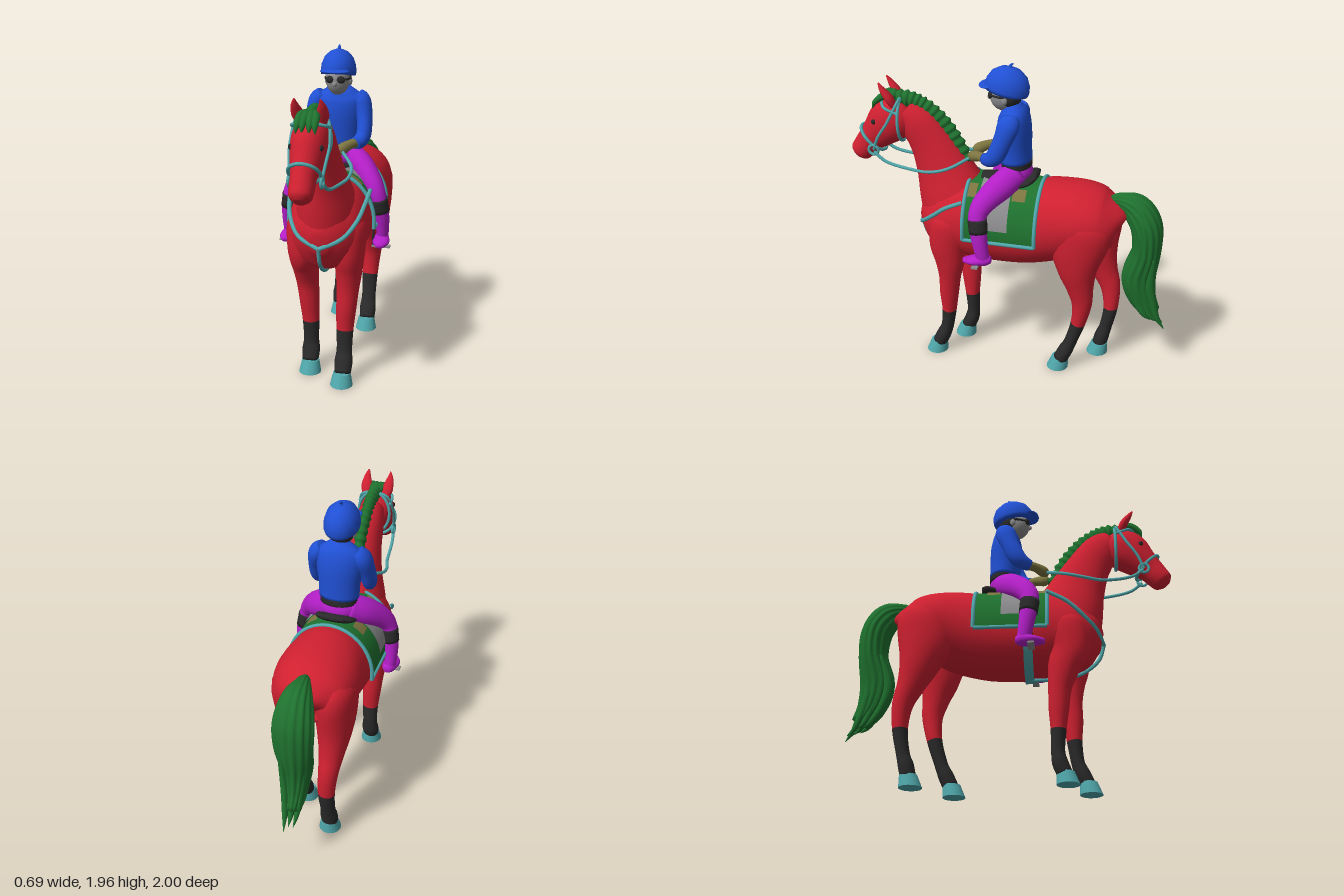
import * as THREE from 'three';

const mat = (name, color) => Object.assign(new THREE.MeshStandardMaterial({ color }), { name });
const V = (x, y, z) => new THREE.Vector3(x, y, z);

export function createModel() {
  const model = new THREE.Group();
  model.name = 'horseAndRider';
  const red = mat('coat red', 0xcf2030), green = mat('hair green', 0x1f722f), teal = mat('tack teal', 0x50a8ac);
  const black = mat('black', 0x2a2a2a), blue = mat('jacket blue', 0x2050d4), magenta = mat('breeches magenta', 0xb41fc8);
  const grey = mat('grey', 0x8c8c8e), olive = mat('olive', 0x7c7440);

  const add = (name, geo, material, pos = [0, 0, 0]) => {
    const m = new THREE.Mesh(geo, material);
    m.name = name;
    m.position.set(...pos);
    model.add(m);
    return m;
  };
  const ball = (name, material, pos, r) => add(name, new THREE.SphereGeometry(1, 24, 16).scale(...r), material, pos);
  const strap = (name, pts, r = 0.011, material = teal, closed = false) =>
    add(name, new THREE.TubeGeometry(new THREE.CatmullRomCurve3(pts.map(p => V(...p)), closed), 40, r, 8, closed), material);

  // Smooth skin over elliptical rings [x, y, z, half width, half depth]; colour may change at ring `split`
  function loft(name, material, pts, { seg = 20, steps = 5, split = 0, lobes = 0, ripple = 0 } = {}) {
    const path = new THREE.CatmullRomCurve3(pts.map(p => V(p[0], p[1], p[2])), false, 'catmullrom');
    const size = new THREE.CatmullRomCurve3(pts.map(p => V(p[3], p[4], 0)), false, 'catmullrom');
    const rings = (pts.length - 1) * steps, pos = [], idx = [];
    for (let i = 0; i <= rings; i++) {
      const t = i / rings, c = path.getPoint(t), r = size.getPoint(t), T = path.getTangent(t);
      const S = V(1, 0, 0).addScaledVector(T, -T.x).normalize(), U = T.clone().cross(S);
      for (let j = 0; j < seg; j++) {
        const a = j / seg * Math.PI * 2, k = 1 + ripple * Math.cos(lobes * a);
        const p = c.clone().addScaledVector(S, Math.cos(a) * Math.max(r.x, 0.002) * k)
          .addScaledVector(U, Math.sin(a) * Math.max(r.y, 0.002) * k);
        pos.push(p.x, p.y, p.z);
      }
    }
    for (let i = 0; i < rings; i++) for (let j = 0; j < seg; j++) {
      const a = i * seg + j, b = i * seg + (j + 1) % seg;
      idx.push(a, b, b + seg, a, b + seg, a + seg);
    }
    const first = pts[0], last = pts[pts.length - 1], n = pos.length / 3;
    pos.push(first[0], first[1], first[2], last[0], last[1], last[2]);
    for (let j = 0; j < seg; j++) {
      const k = (j + 1) % seg, e = rings * seg;
      idx.push(n, k, j, n + 1, e + j, e + k);
    }
    const geo = new THREE.BufferGeometry();
    geo.setAttribute('position', new THREE.Float32BufferAttribute(pos, 3));
    geo.setIndex(idx);
    geo.computeVertexNormals();
    if (split) {
      const cut = split * steps * seg * 6;
      geo.addGroup(0, cut, 0);
      geo.addGroup(cut, idx.length - cut, 1);
    }
    return add(name, geo, material);
  }

  // Horse trunk, neck and head
  loft('trunk', red, [[0, 1.02, -0.685, 0.05, 0.06], [0, 1.03, -0.66, 0.15, 0.13], [0, 1.03, -0.58, 0.22, 0.185],
    [0, 1.04, -0.45, 0.25, 0.22], [0, 1.01, -0.3, 0.245, 0.255], [0, 0.96, -0.1, 0.24, 0.26], [0, 0.96, 0.1, 0.24, 0.27],
    [0, 0.97, 0.25, 0.235, 0.275], [0, 0.94, 0.4, 0.215, 0.235], [0, 0.93, 0.5, 0.15, 0.17], [0, 0.92, 0.56, 0.05, 0.06]], { seg: 32 });
  loft('neck', red, [[0, 0.97, 0.3, 0.2, 0.26], [0, 1.12, 0.36, 0.17, 0.22], [0, 1.28, 0.42, 0.125, 0.175],
    [0, 1.43, 0.49, 0.1, 0.14], [0, 1.55, 0.57, 0.09, 0.12], [0, 1.61, 0.65, 0.07, 0.09]], { seg: 28 });
  loft('head', red, [[0, 1.645, 0.635, 0.04, 0.05], [0, 1.62, 0.66, 0.08, 0.1], [0, 1.58, 0.7, 0.1, 0.13],
    [0, 1.53, 0.76, 0.1, 0.135], [0, 1.47, 0.82, 0.087, 0.11], [0, 1.41, 0.88, 0.07, 0.085],
    [0, 1.355, 0.925, 0.068, 0.075], [0, 1.32, 0.955, 0.06, 0.066], [0, 1.3, 0.972, 0.03, 0.035]], { seg: 28 });

  // Legs: rings [y, z, half width, half depth], top to fetlock; hoof below
  const leg = (name, s, rings, hoofZ, split) => {
    const pts = rings.map(([y, z, w, d]) => [s * (0.115 + 0.02 * Math.min(1, Math.max(0, (y - 0.35) * 3))), y, z, w, d]);
    loft(name, [red, black], pts, { split });
    const hoof = new THREE.CylinderGeometry(0.052, 0.068, 0.075, 24), p = hoof.attributes.position;
    for (let i = 0; i < p.count; i++) if (p.getY(i) > 0) p.setZ(i, p.getZ(i) - 0.015);
    hoof.computeVertexNormals();
    add(name + 'Hoof', hoof, teal, [s * 0.112, 0.0375, hoofZ]);
  };
  for (const s of [1, -1]) {
    const f = s > 0 ? 0 : 1;
    leg('frontLeg', s, [[1.05, 0.33, 0.06, 0.08], [0.97, 0.34, 0.1, 0.13], [0.82, 0.36, 0.095, 0.12], [0.7, 0.355 - f * 0.03, 0.08, 0.095],
      [0.58, 0.36 - f * 0.06, 0.067, 0.07], [0.45, 0.37 - f * 0.08, 0.06, 0.06], [0.325, 0.375 - f * 0.09, 0.052, 0.046],
      [0.2, 0.39 - f * 0.11, 0.047, 0.04], [0.13, 0.415 - f * 0.125, 0.055, 0.046], [0.065, 0.445 - f * 0.13, 0.05, 0.046]], 0.465 - f * 0.13, 6);
    const h = (near, far) => f ? far : near;
    leg('hindLeg', s, [[1.14, -0.48, 0.06, 0.1], [1.05, h(-0.47, -0.49), 0.115, 0.18], [0.9, h(-0.45, -0.5), 0.118, 0.175],
      [0.75, h(-0.45, -0.535), 0.1, 0.125], [0.62, h(-0.47, -0.58), 0.075, 0.085], [0.5, h(-0.485, -0.625), 0.06, 0.063],
      [0.35, h(-0.465, -0.635), 0.052, 0.046], [0.2, h(-0.42, -0.61), 0.046, 0.04], [0.13, h(-0.39, -0.59), 0.054, 0.046],
      [0.065, h(-0.36, -0.575), 0.05, 0.046]], h(-0.34, -0.56), 6);

    // Face and ears
    loft('ear', red, [[s * 0.06, 1.66, 0.7, 0.025, 0.02], [s * 0.068, 1.71, 0.725, 0.035, 0.025],
      [s * 0.073, 1.76, 0.76, 0.022, 0.017], [s * 0.07, 1.8, 0.785, 0.004, 0.004]], { seg: 14 });
    ball('eye', black, [s * 0.083, 1.555, 0.825], [0.011, 0.016, 0.016]);
    ball('nostril', black, [s * 0.035, 1.35, 0.982], [0.012, 0.016, 0.01]);
  }

  // Mane in ruffled tufts, forelock and tail
  const crest = new THREE.CatmullRomCurve3([[1.69, 0.73], [1.69, 0.62], [1.655, 0.53], [1.575, 0.43], [1.46, 0.345], [1.32, 0.275]]
    .map(([y, z]) => V(0, y, z)));
  loft('mane', green, Array.from({ length: 46 }, (_, i) => {
    const p = crest.getPoint(i / 45), k = 0.85 + 0.13 * (i % 3);
    return [0, p.y, p.z, 0.035 * k, 0.05 * k];
  }), { seg: 14, steps: 2 });
  for (const x of [-0.04, -0.015, 0.015, 0.04])
    loft('forelock', green, [[x * 0.5, 1.71, 0.7, 0.02, 0.02], [x, 1.71, 0.765, 0.024, 0.022],
      [x * 1.2, 1.67, 0.82, 0.018, 0.016], [x * 1.3, 1.63, 0.838, 0.003, 0.003]], { seg: 10 });
  loft('tail', green, [[0, 1.16, -0.61, 0.02, 0.03], [0, 1.17, -0.68, 0.05, 0.05], [0, 1.13, -0.77, 0.09, 0.085],
    [0, 1.02, -0.835, 0.115, 0.09], [0, 0.86, -0.845, 0.11, 0.085], [0, 0.68, -0.81, 0.085, 0.1],
    [0, 0.54, -0.835, 0.065, 0.085], [0, 0.43, -0.9, 0.04, 0.055]], { seg: 56, lobes: 14, ripple: 0.06 });
  for (let i = 0; i < 9; i++) {
    const u = i / 8, x = (i % 3 - 1) * 0.04;
    loft('tailLock', green, [[x * 1.4, 0.85, -0.8 - 0.09 * u, 0.025, 0.025], [x * 1.3, 0.66, -0.735 - 0.145 * u, 0.024, 0.03],
      [x, 0.53, -0.765 - 0.14 * u, 0.022, 0.026], [x * 0.8, 0.43 - 0.02 * u, -0.83 - 0.11 * u, 0.016, 0.018],
      [x * 0.6, 0.4 - 0.07 * u + 0.02 * (i % 2), -0.87 - 0.118 * u, 0.002, 0.002]], { seg: 10 });
  }

  // Tack that wraps the barrel: a = angle from the spine, offset from the body
  const around = (a, z, off) => [(0.25 + off) * Math.sin(a), 0.96 + (0.285 + off) * Math.cos(a), z];
  const wrap = (name, material, a0, a1, zFront, zBack, off) => {
    const geo = new THREE.PlaneGeometry(1, 1, 32, 8), p = geo.attributes.position;
    for (let i = 0; i < p.count; i++) {
      const a = a0 + (a1 - a0) * (p.getX(i) + 0.5);
      p.setXYZ(i, ...around(a, THREE.MathUtils.lerp(zFront, zBack, p.getY(i) + 0.5), off));
    }
    geo.computeVertexNormals();
    return add(name, geo, material);
  };
  const padGreen = green.clone();
  padGreen.side = THREE.DoubleSide;
  const E = 1.7;
  wrap('saddlePad', padGreen, -E, E, 0.235, -0.205, 0.008);
  const arc = Array.from({ length: 21 }, (_, i) => -E + 2 * E * i / 20);
  for (const z of [0.235, -0.205]) strap('padBinding', arc.map(a => around(a, z, 0.01)), 0.012);
  wrap('girth', teal, E, 2 * Math.PI - E, 0.145, 0.09, 0);
  for (const s of [1, -1]) {
    strap('padBinding', [0.235, 0.1, -0.1, -0.205].map(z => around(s * E, z, 0.01)), 0.012);
    const side = (name, m, a, b, zf, zb, off) => wrap(name, m, s > 0 ? a : -b, s > 0 ? b : -a, zf, zb, off);
    side('saddleFlap', grey, 0.15, 1.42, 0.15, -0.04, 0.014);
    side('padPatch', olive, 0.45, 0.75, -0.05, -0.13, 0.012);
    side('padPatch', olive, 0.4, 0.75, 0.222, 0.17, 0.012);

    // Breast strap, bridle and reins
    strap('breastStrap', [[s * 0.235, 1.16, 0.235], [s * 0.222, 1.1, 0.35], [s * 0.195, 1.03, 0.435],
      [s * 0.125, 0.95, 0.525], [0, 0.895, 0.57]], 0.013);
    strap('cheekStrap', [[0, 1.71, 0.67], [s * 0.08, 1.68, 0.675], [s * 0.106, 1.56, 0.735], [s * 0.098, 1.46, 0.8], [s * 0.083, 1.375, 0.835]], 0.009);
    strap('browBand', [[s * 0.1, 1.625, 0.67], [s * 0.092, 1.655, 0.75], [0, 1.68, 0.8]], 0.009);
    const ring = add('bitRing', new THREE.TorusGeometry(0.03, 0.009, 8, 24), teal, [s * 0.088, 1.375, 0.835]);
    ring.rotation.y = Math.PI / 2;
    strap('rein', [[s * 0.09, 1.365, 0.83], [s * 0.1, 1.315, 0.76], [s * 0.12, 1.285, 0.58], [s * 0.15, 1.295, 0.46],
      [s * 0.145, 1.325, 0.35], [s * 0.06, 1.385, 0.22]], 0.01);
  }
  strap('chestStrap', [[0, 0.9, 0.57], [0, 0.8, 0.535], [0, 0.715, 0.43], [0, 0.685, 0.28], [0, 0.68, 0.12]], 0.012);
  const loop = (name, y, z, rx, r, uy, uz) => strap(name, Array.from({ length: 16 }, (_, i) => {
    const a = i / 8 * Math.PI;
    return [rx * Math.cos(a), y + uy * r * Math.sin(a), z + uz * r * Math.sin(a)];
  }), 0.01, teal, true);
  loop('noseBand', 1.425, 0.862, 0.086, 0.102, 0.7, 0.7);
  loop('throatStrap', 1.565, 0.668, 0.1, 0.14, 1, 0);

  // Saddle seat
  loft('saddleSeat', black, [[0, 1.24, 0.17, 0.05, 0.03], [0, 1.24, 0.08, 0.08, 0.03], [0, 1.235, -0.04, 0.12, 0.03],
    [0, 1.265, -0.13, 0.12, 0.028], [0, 1.29, -0.17, 0.07, 0.015]]);

  // Rider body
  ball('pelvis', magenta, [0, 1.295, -0.035], [0.125, 0.09, 0.1]);
  loft('belt', black, [[0, 1.335, -0.04, 0.112, 0.092], [0, 1.375, -0.038, 0.114, 0.092]], { seg: 28 });
  loft('jacket', blue, [[0, 1.37, -0.035, 0.12, 0.095], [0, 1.46, -0.03, 0.125, 0.098], [0, 1.57, -0.025, 0.14, 0.1],
    [0, 1.65, -0.02, 0.14, 0.088], [0, 1.695, -0.01, 0.09, 0.065], [0, 1.72, 0, 0.045, 0.045]], { seg: 28 });
  loft('riderNeck', grey, [[0, 1.68, 0, 0.045, 0.045], [0, 1.76, 0.02, 0.045, 0.048]]);
  for (const s of [1, -1]) {
    loft('sleeve', blue, [[s * 0.1, 1.67, -0.02, 0.04, 0.05], [s * 0.135, 1.63, -0.02, 0.052, 0.065], [s * 0.155, 1.54, 0.01, 0.047, 0.056],
      [s * 0.16, 1.45, 0.05, 0.044, 0.054], [s * 0.145, 1.415, 0.09, 0.042, 0.045], [s * 0.12, 1.405, 0.125, 0.036, 0.036]]);
    loft('glove', olive, [[s * 0.13, 1.405, 0.1, 0.03, 0.03], [s * 0.095, 1.405, 0.16, 0.029, 0.028],
      [s * 0.062, 1.39, 0.21, 0.032, 0.034], [s * 0.045, 1.38, 0.24, 0.018, 0.02]]);
    loft('riderLeg', magenta, [[s * 0.05, 1.3, -0.05, 0.07, 0.08], [s * 0.14, 1.25, 0.02, 0.072, 0.083], [s * 0.22, 1.175, 0.1, 0.06, 0.068],
      [s * 0.262, 1.1, 0.135, 0.05, 0.056], [s * 0.283, 1, 0.125, 0.046, 0.052], [s * 0.29, 0.9, 0.11, 0.04, 0.045], [s * 0.288, 0.81, 0.095, 0.034, 0.04]]);
    loft('bootTop', black, [[s * 0.268, 1.08, 0.135, 0.052, 0.059], [s * 0.283, 0.995, 0.125, 0.05, 0.056]]);
    loft('foot', magenta, [[s * 0.28, 0.82, 0.05, 0.022, 0.02], [s * 0.283, 0.82, 0.085, 0.042, 0.036],
      [s * 0.288, 0.812, 0.16, 0.05, 0.026], [s * 0.29, 0.806, 0.22, 0.022, 0.014]]);
    add('stirrupTread', new THREE.BoxGeometry(0.11, 0.01, 0.04), grey, [s * 0.288, 0.782, 0.14]);
    strap('stirrupLeather', [[s * 0.26, 1.0, 0.13], [s * 0.242, 0.9, 0.14], [s * 0.24, 0.785, 0.14]], 0.007, black);
    ball('ear', grey, [s * 0.07, 1.755, 0.02], [0.012, 0.025, 0.018]);
    ball('goggleLens', black, [s * 0.03, 1.775, 0.108], [0.028, 0.022, 0.018]);
    strap('goggleStrap', [[s * 0.05, 1.775, 0.1], [s * 0.074, 1.775, 0.04], [s * 0.05, 1.775, -0.035]], 0.007, black);
  }

  // Rider head and helmet
  ball('face', grey, [0, 1.765, 0.04], [0.07, 0.09, 0.083]);
  ball('nose', grey, [0, 1.75, 0.122], [0.012, 0.016, 0.016]);
  ball('hair', black, [0, 1.765, 0.005], [0.073, 0.07, 0.072]);
  const shell = [[0, 0], [0.1, 0], [0.104, 0.02], [0.1, 0.06], [0.083, 0.105], [0.05, 0.138], [0.02, 0.149], [0, 0.15]];
  const helmet = add('helmet', new THREE.LatheGeometry(shell.map(p => new THREE.Vector2(...p)), 32).scale(1, 1, 1.28), blue, [0, 1.79, 0.025]);
  helmet.rotation.x = -0.2;
  ball('visor', blue, [0, 1.828, 0.13], [0.085, 0.013, 0.055]);
  loft('helmetTuft', blue, [[0, 1.92, -0.005, 0.014, 0.014], [0, 1.945, 0, 0.01, 0.01], [0, 1.96, -0.015, 0.004, 0.004]], { seg: 10 });
  return model;
}
